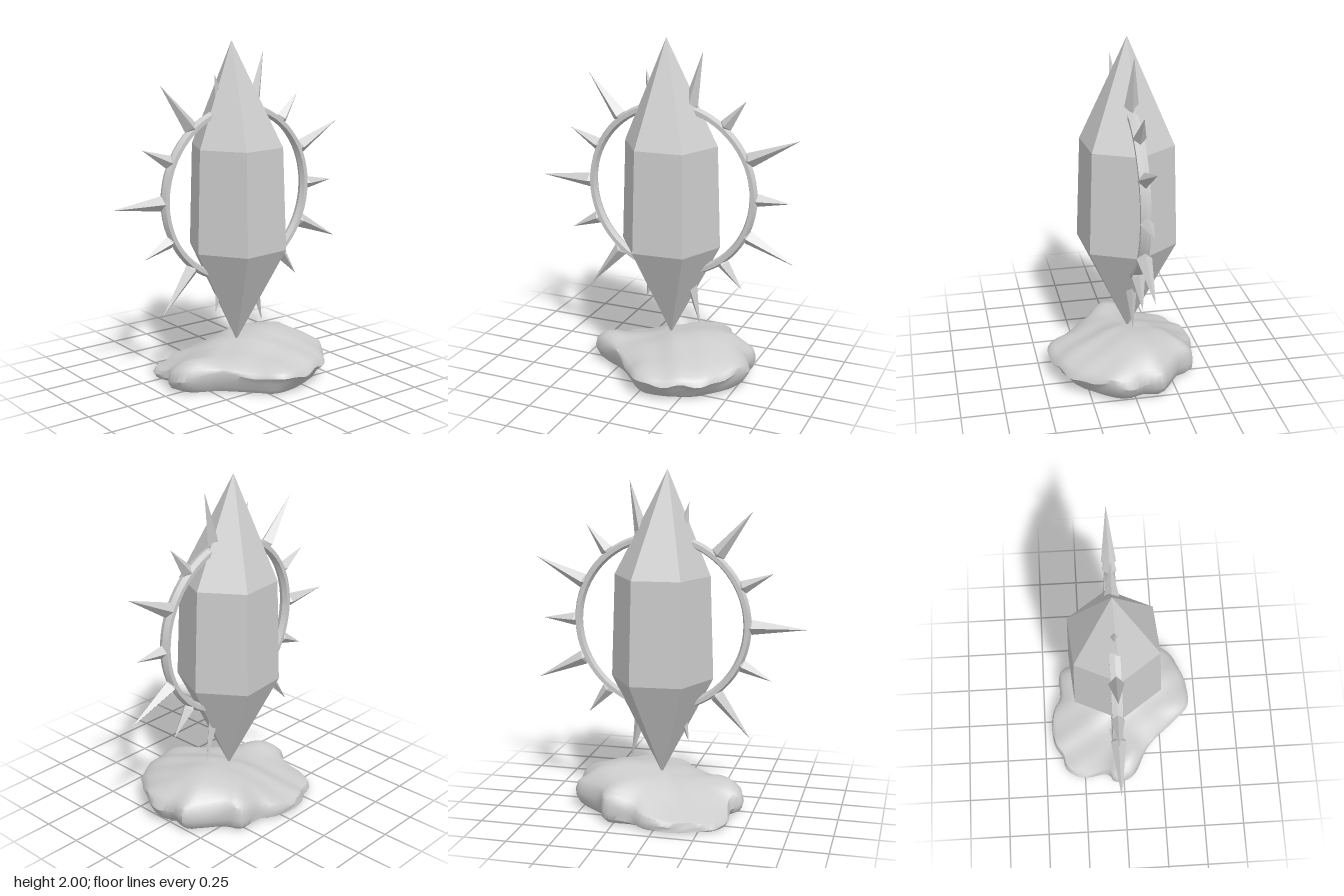
import * as THREE from 'three';
import { toCreasedNormals } from 'three/addons/utils/BufferGeometryUtils.js';

// Skin a stack of equal-length closed rings, listed bottom to top
function loft(rings) {
  const n = rings[0].length, index = [];
  for (let i = 0; i < rings.length - 1; i++) {
    for (let j = 0; j < n; j++) {
      const a = i * n + j, b = i * n + (j + 1) % n;
      index.push(a, b, b + n, a, b + n, a + n);
    }
  }
  const geometry = new THREE.BufferGeometry().setFromPoints(rings.flat());
  geometry.setIndex(index);
  geometry.computeVertexNormals();
  return geometry;
}

// Hexagonal crystal, slightly leaning at the tip: [x, y, z, radius]
function crystalGeometry() {
  const sections = [
    [0.039, 0.22, -0.043, 0], [0.039, 0.8, -0.034, 0.298], [0.037, 1.4, -0.036, 0.277], [0.004, 2, -0.043, 0],
  ];
  const rings = sections.map(([x, y, z, r]) => Array.from({ length: 6 }, (_, k) => {
    const a = THREE.MathUtils.degToRad(5 + 60 * k);
    return new THREE.Vector3(x + r * Math.cos(a), y, z - r * Math.sin(a));
  }));
  const geometry = loft(rings).toNonIndexed();
  geometry.computeVertexNormals();
  return geometry;
}

// Weathered boulder: a plan outline scaled through layers, with gentle bumps
function rockGeometry() {
  const outline = [
    [-0.445, -0.06], [-0.39, -0.1], [-0.4, -0.255], [-0.37, -0.33], [-0.32, -0.375], [-0.25, -0.39],
    [-0.17, -0.44], [-0.02, -0.45], [0.07, -0.43], [0.13, -0.39], [0.3, -0.385], [0.35, -0.3],
    [0.49, -0.19], [0.54, -0.15], [0.53, -0.05], [0.565, 0.04], [0.56, 0.12], [0.515, 0.2], [0.46, 0.27],
    [0.385, 0.355], [0.195, 0.435], [0.02, 0.44], [-0.085, 0.33], [-0.255, 0.16], [-0.425, 0.045],
  ].reverse().map(([x, z]) => new THREE.Vector3(x, 0, z));
  const edge = new THREE.CatmullRomCurve3(outline, true).getSpacedPoints(96).slice(0, 96);
  const centre = new THREE.Vector3(0.04, 0, -0.03);
  const bump = (x, y, z) =>
    Math.sin(13 * x + 5 * z + 9 * y) * Math.sin(15 * z - 4 * x + 1) + 0.5 * Math.sin(31 * x - 17 * z + 25 * y);
  // How far a point lies out on the low back-right wedge
  const wedge = (p) => Math.max(0, -0.6 * p.x - 0.8 * p.z - 0.1);
  const mound = (p, x, z, spread) => Math.exp(-((p.x - x) ** 2 + (p.z - z) ** 2) / spread);

  // Underside and sides: [scale, height]
  const low = [[0, 0], [0.5, 0], [0.87, 0.005], [0.94, 0.035], [0.98, 0.075], [1, 0.115]];
  const rings = low.map(([s, y]) => edge.map((p) => {
    const undercut = y < 0.1 ? 0.14 * p.z * s : 0;
    const q = centre.clone().lerp(p, Math.min(1, s - undercut) + (s > 0.9 ? 0.01 * bump(p.x, y * 3, p.z) : 0));
    q.y = y * (1 - 2 * wedge(p)) * (1 + 0.12 * bump(p.x, 0, p.z));
    return q;
  }));

  // Top, with a low peak toward +x and a knob at the -x corner
  for (const s of [0.975, 0.93, 0.85, 0.73, 0.6, 0.46, 0.32, 0.16, 0]) {
    rings.push(edge.map((p) => {
      const q = centre.clone().lerp(p, s);
      const height = 0.174 + 0.09 * mound(q, 0.25, -0.05, 0.09) + 0.05 * mound(q, -0.38, 0.02, 0.02) - 0.3 * wedge(q);
      q.y = height * (1 - 0.28 * s ** 7) + 0.007 * bump(q.x, 0, q.z);
      return q;
    }));
  }
  return toCreasedNormals(loft(rings), 0.7);
}

// Four-sided spike along +y with a blunt pyramid foot
function spikeGeometry(tip, halfWidth) {
  const profile = [[0, 0.478], [halfWidth, 0.525], [0, tip]].map(([x, y]) => new THREE.Vector2(x, y));
  const geometry = new THREE.LatheGeometry(profile, 4).toNonIndexed();
  geometry.computeVertexNormals();
  return geometry;
}

export function createModel() {
  const model = new THREE.Group();
  model.name = 'crystalShrine';
  const stone = new THREE.MeshStandardMaterial({ color: 0xcccccc });
  stone.name = 'paleStone';

  const add = (parent, name, geometry) => {
    const mesh = new THREE.Mesh(geometry, stone);
    mesh.name = name;
    parent.add(mesh);
    return mesh;
  };

  add(model, 'rockBase', rockGeometry());
  add(model, 'crystal', crystalGeometry());

  // Upright halo passing through the crystal
  const halo = new THREE.Group();
  halo.name = 'spikedHalo';
  halo.position.set(0.04, 1.121, -0.038);
  model.add(halo);

  const band = new THREE.TorusGeometry(0.499, 0.024, 6, 64);
  band.scale(1, 1, 1.4);
  add(halo, 'haloRing', toCreasedNormals(band, 0.5));

  // Alternating short and long spikes
  const shortSpike = spikeGeometry(0.715, 0.038);
  const longSpike = spikeGeometry(0.839, 0.043);
  for (let i = 0; i < 14; i++) {
    const spike = add(halo, i % 2 ? 'longSpike' : 'shortSpike', i % 2 ? longSpike : shortSpike);
    spike.rotation.z = (i / 14) * Math.PI * 2 - Math.PI / 2;
  }
  return model;
}
